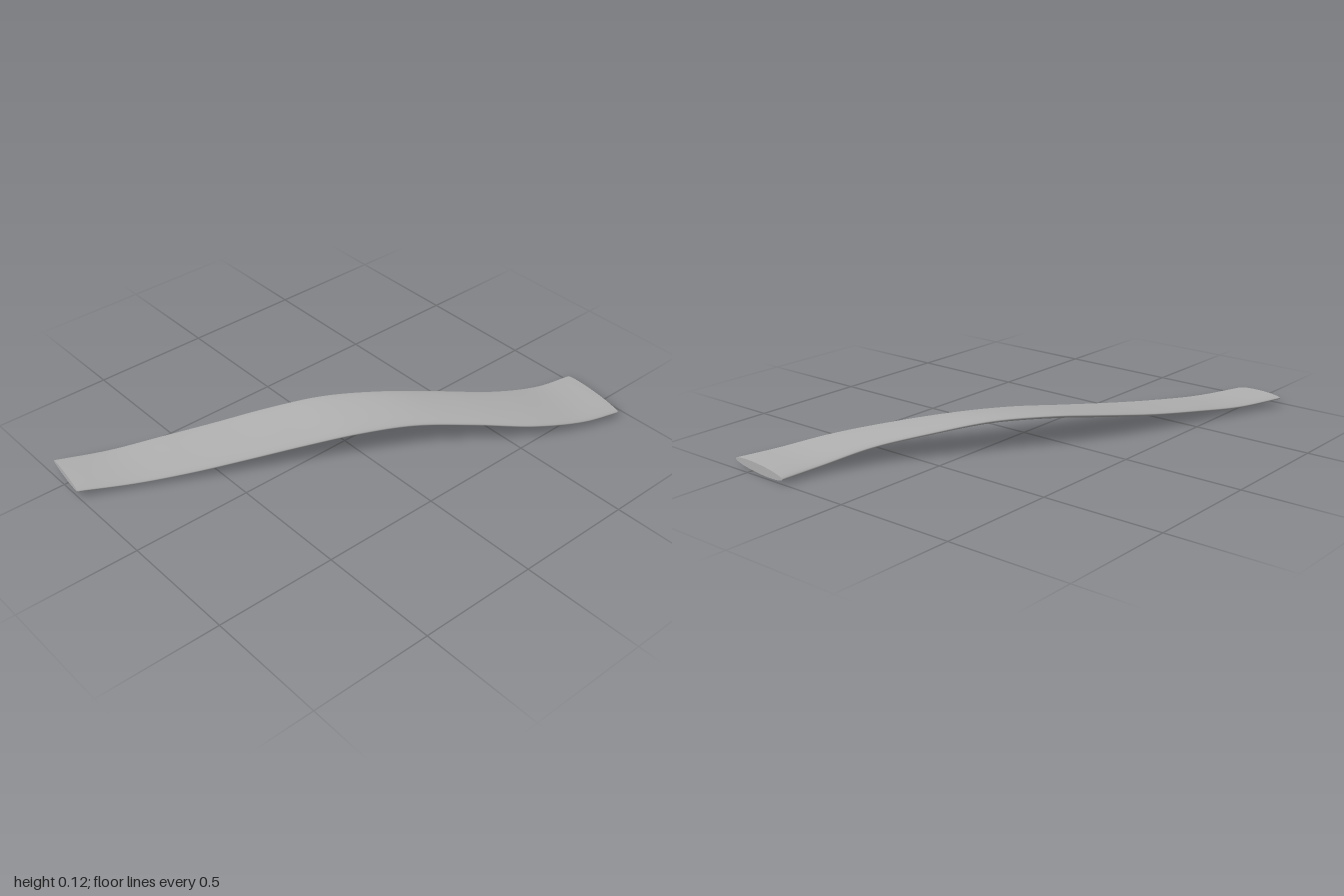
import * as THREE from 'three';

// Stations along the strip: front edge (x, y, z), back edge (x, y, z), thickness
const STATIONS = [
  [-1.0, 0.029, -0.4, -0.97, 0.033, -0.62, 0.027],
  [-0.8, 0.02, -0.303, -0.77, 0.027, -0.54, 0.031],
  [-0.6, 0.028, -0.205, -0.57, 0.042, -0.46, 0.033],
  [-0.4, 0.045, -0.11, -0.37, 0.061, -0.375, 0.034],
  [-0.2, 0.066, -0.013, -0.17, 0.088, -0.283, 0.034],
  [0.0, 0.086, 0.09, 0.03, 0.112, -0.175, 0.035],
  [0.2, 0.091, 0.2, 0.23, 0.115, -0.04, 0.035],
  [0.4, 0.075, 0.34, 0.43, 0.092, 0.09, 0.035],
  [0.6, 0.048, 0.48, 0.63, 0.062, 0.213, 0.036],
  [0.8, 0.024, 0.57, 0.83, 0.031, 0.28, 0.037],
  [0.96, 0.02, 0.615, 1.0, 0.02, 0.305, 0.037],
];
const STEPS = 80;
const SIDES = 40;

// Closed elliptical cross-sections between the two edge curves
function makeSections() {
  const edge = (o) => new THREE.CatmullRomCurve3(
    STATIONS.map((s) => new THREE.Vector3(s[o], s[o + 1], s[o + 2])));
  const front = edge(0);
  const back = edge(3);
  const sections = [];
  for (let i = 0; i <= STEPS; i++) {
    const t = i / STEPS;
    const f = front.getPoint(t);
    const b = back.getPoint(t);
    const mid = f.clone().add(b).multiplyScalar(0.5);
    const half = f.clone().sub(b).multiplyScalar(0.5);
    const u = t * (STATIONS.length - 1);
    const k = Math.min(Math.floor(u), STATIONS.length - 2);
    const thick = THREE.MathUtils.lerp(STATIONS[k][6], STATIONS[k + 1][6], u - k);
    const ring = [];
    for (let j = 0; j < SIDES; j++) {
      const a = (j / SIDES) * Math.PI * 2;
      const p = mid.clone().addScaledVector(half, Math.cos(a));
      p.y += Math.sin(a) * thick / 2;
      ring.push(p);
    }
    sections.push(ring);
  }
  return sections;
}

function toGeometry(points, index) {
  const geometry = new THREE.BufferGeometry().setFromPoints(points);
  geometry.setIndex(index);
  geometry.computeVertexNormals();
  return geometry;
}

// Smooth skin through all sections
function skinGeometry(sections) {
  const index = [];
  for (let i = 0; i < STEPS; i++) {
    for (let j = 0; j < SIDES; j++) {
      const n = (j + 1) % SIDES;
      const a = i * SIDES + j;
      const b = a + SIDES;
      const c = (i + 1) * SIDES + n;
      const d = i * SIDES + n;
      index.push(a, b, c, a, c, d);
    }
  }
  return toGeometry(sections.flat(), index);
}

// Flat end face
function capGeometry(ring, facesRight) {
  const index = [];
  for (let j = 1; j < SIDES - 1; j++) {
    index.push(...(facesRight ? [0, j + 1, j] : [0, j, j + 1]));
  }
  return toGeometry(ring, index);
}

export function createModel() {
  const group = new THREE.Group();
  group.name = 'curvedStrip';
  const grey = new THREE.MeshStandardMaterial({ color: 0xb0b0b0 });
  grey.name = 'grey';
  const sections = makeSections();
  const add = (name, geometry) => {
    const mesh = new THREE.Mesh(geometry, grey);
    mesh.name = name;
    group.add(mesh);
  };
  add('stripBody', skinGeometry(sections));
  add('narrowEnd', capGeometry(sections[0], false));
  add('wideEnd', capGeometry(sections[STEPS], true));
  return group;
}
